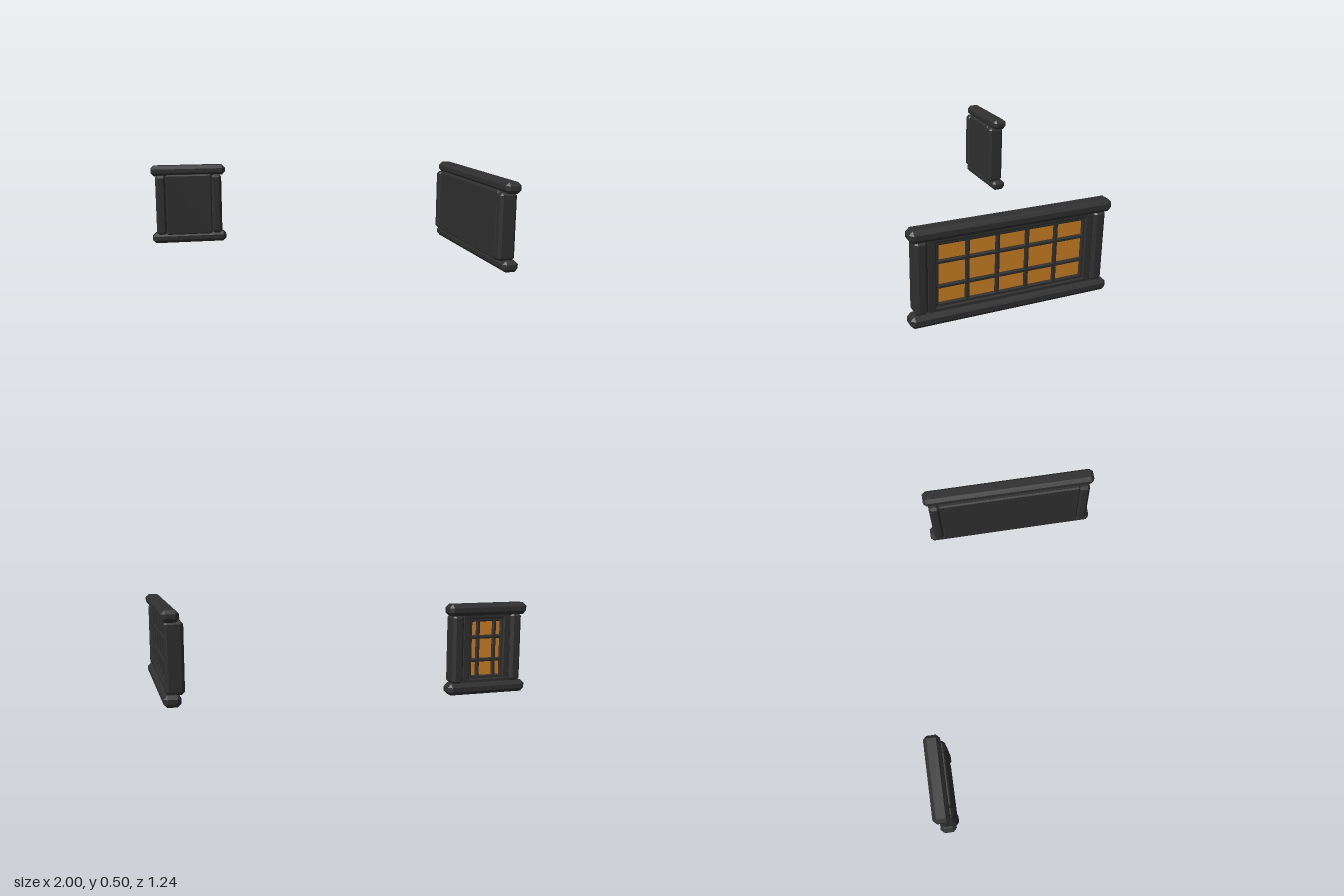
import * as THREE from 'three';
import { ConvexGeometry } from 'three/addons/geometries/ConvexGeometry.js';

const dark = new THREE.MeshStandardMaterial({ color: 0x2f2f2f });
dark.name = 'dark timber';
const amber = new THREE.MeshStandardMaterial({ color: 0xd08224 });
amber.name = 'amber pane';

// Box with every edge cut by a chamfer c
function chamferBox(w, h, d, c) {
  const pts = [];
  for (const sx of [-1, 1]) for (const sy of [-1, 1]) for (const sz of [-1, 1]) {
    const x = w / 2, y = h / 2, z = d / 2;
    pts.push(
      new THREE.Vector3(sx * x, sy * (y - c), sz * (z - c)),
      new THREE.Vector3(sx * (x - c), sy * y, sz * (z - c)),
      new THREE.Vector3(sx * (x - c), sy * (y - c), sz * z));
  }
  return new ConvexGeometry(pts);
}

function add(group, name, geometry, material, x, y, z) {
  const mesh = new THREE.Mesh(geometry, material);
  mesh.name = name;
  mesh.position.set(x, y, z);
  group.add(mesh);
}

// Rectangular ring with bevelled faces, its back at z = 0
function ring(w, h, innerW, innerH, depth, bevel) {
  const rect = (Type, a, b) => new Type([[-1, -1], [1, -1], [1, 1], [-1, 1]]
    .map(([x, y]) => new THREE.Vector2(x * a / 2, y * b / 2)));
  const shape = rect(THREE.Shape, w, h);
  shape.holes.push(rect(THREE.Path, innerW, innerH));
  const g = new THREE.ExtrudeGeometry(shape, {
    depth: depth - 2 * bevel, bevelEnabled: true, bevelSegments: 1,
    bevelSize: bevel, bevelThickness: bevel, bevelOffset: -bevel,
  });
  return g.translate(0, 0, bevel);
}

// Framed window panel along x, glazed side facing +z
function windowPanel(name, half, barXs) {
  const g = new THREE.Group();
  g.name = name;
  const midY = 0.2525;

  // Horizontal rails and vertical posts
  const rail = chamferBox(half * 2, 0.065, 0.092, 0.02);
  add(g, 'bottomRail', rail, dark, 0, 0.0325, 0);
  add(g, 'topRail', rail, dark, 0, 0.4725, 0);
  const post = chamferBox(0.066, 0.385, 0.1, 0.016);
  for (const s of [-1, 1]) add(g, 'post', post, dark, s * (half - 0.06), midY, -0.0175);

  // Back board and stepped surround of the opening
  const boardW = 2 * (half - 0.09), openW = 2 * (half - 0.135);
  add(g, 'backBoard', chamferBox(boardW, 0.39, 0.055, 0.008), dark, 0, midY, -0.0335);
  add(g, 'surround', ring(boardW, 0.39, openW, 0.335, 0.032, 0.006), dark, 0, midY, -0.012);
  add(g, 'innerFrame', ring(openW + 0.01, 0.345, openW - 0.03, 0.302, 0.02, 0.005), dark, 0, midY, -0.009);

  // Glazing sheet and lattice bars
  add(g, 'panes', new THREE.BoxGeometry(openW - 0.01, 0.32, 0.006), amber, 0, midY, -0.005);
  const upright = chamferBox(0.021, 0.32, 0.02, 0.005);
  for (const x of barXs) add(g, 'uprightBar', upright, dark, x, midY, 0.001);
  const cross = chamferBox(openW - 0.01, 0.02, 0.02, 0.005);
  for (const y of [0.188, 0.317]) add(g, 'crossBar', cross, dark, 0, y, 0.001);
  return g;
}

export function createModel() {
  const model = new THREE.Group();
  model.name = 'windowPanels';

  const wide = windowPanel('wideWindow', 0.535, [-0.2365, -0.079, 0.079, 0.2365]);
  wide.rotation.y = Math.PI / 2;
  wide.position.set(0.953, 0, 0.085);

  const narrow = windowPanel('narrowWindow', 0.2375, [-0.05, 0.05]);
  narrow.rotation.y = Math.PI;
  narrow.position.set(-0.7625, 0, -0.572);

  model.add(wide, narrow);
  return model;
}
